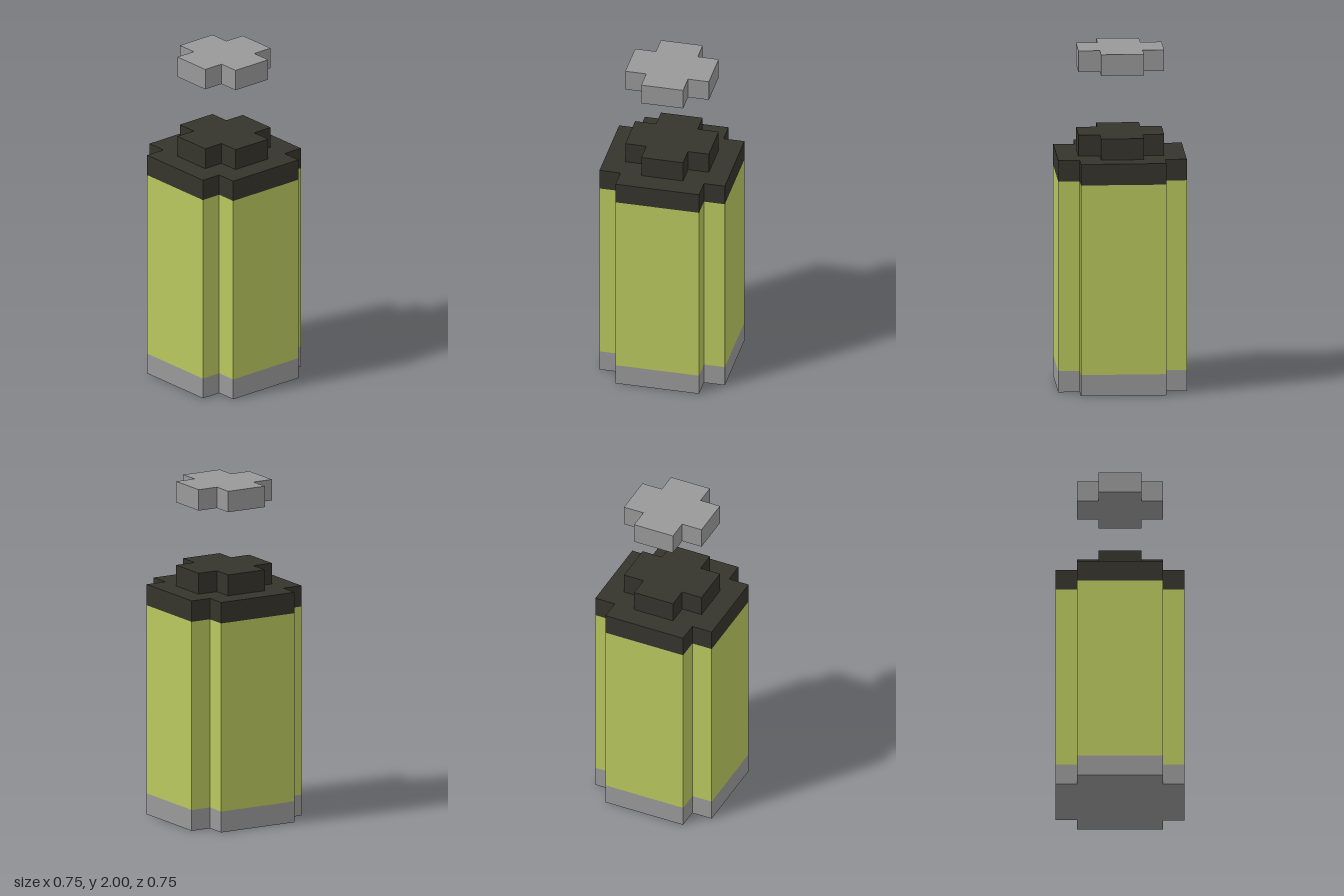
import * as THREE from 'three';

const flat = (name, color) => {
  const m = new THREE.MeshStandardMaterial({ color });
  m.name = name;
  return m;
};

// Upright slab with a plus-shaped footprint: r = reach of the arms, a = half width of the arms
function plusSlab(name, r, a, y0, y1, material) {
  const corners = [
    [r, -a], [r, a], [a, a], [a, r], [-a, r], [-a, a],
    [-r, a], [-r, -a], [-a, -a], [-a, -r], [a, -r], [a, -a],
  ];
  const shape = new THREE.Shape(corners.map(([x, y]) => new THREE.Vector2(x, y)));
  const geometry = new THREE.ExtrudeGeometry(shape, { depth: y1 - y0, bevelEnabled: false });
  geometry.rotateX(-Math.PI / 2);
  geometry.translate(0, y0, 0);
  const mesh = new THREE.Mesh(geometry, material);
  mesh.name = name;
  return mesh;
}

export function createModel() {
  const grey = flat('grey metal', 0x999999);
  const green = flat('yellow green', 0xb9c85e);
  const dark = flat('dark olive', 0x35342c);

  const group = new THREE.Group();
  group.name = 'canister';
  group.add(
    // Body, from the ground up
    plusSlab('base', 0.375, 0.25, 0, 0.125, grey),
    plusSlab('body', 0.375, 0.25, 0.125, 1.25, green),
    plusSlab('collar', 0.375, 0.25, 1.25, 1.375, dark),
    plusSlab('neck', 0.25, 0.125, 1.375, 1.5, dark),
    // Cap floating above the neck
    plusSlab('cap', 0.25, 0.125, 1.875, 2, grey),
  );
  return group;
}
